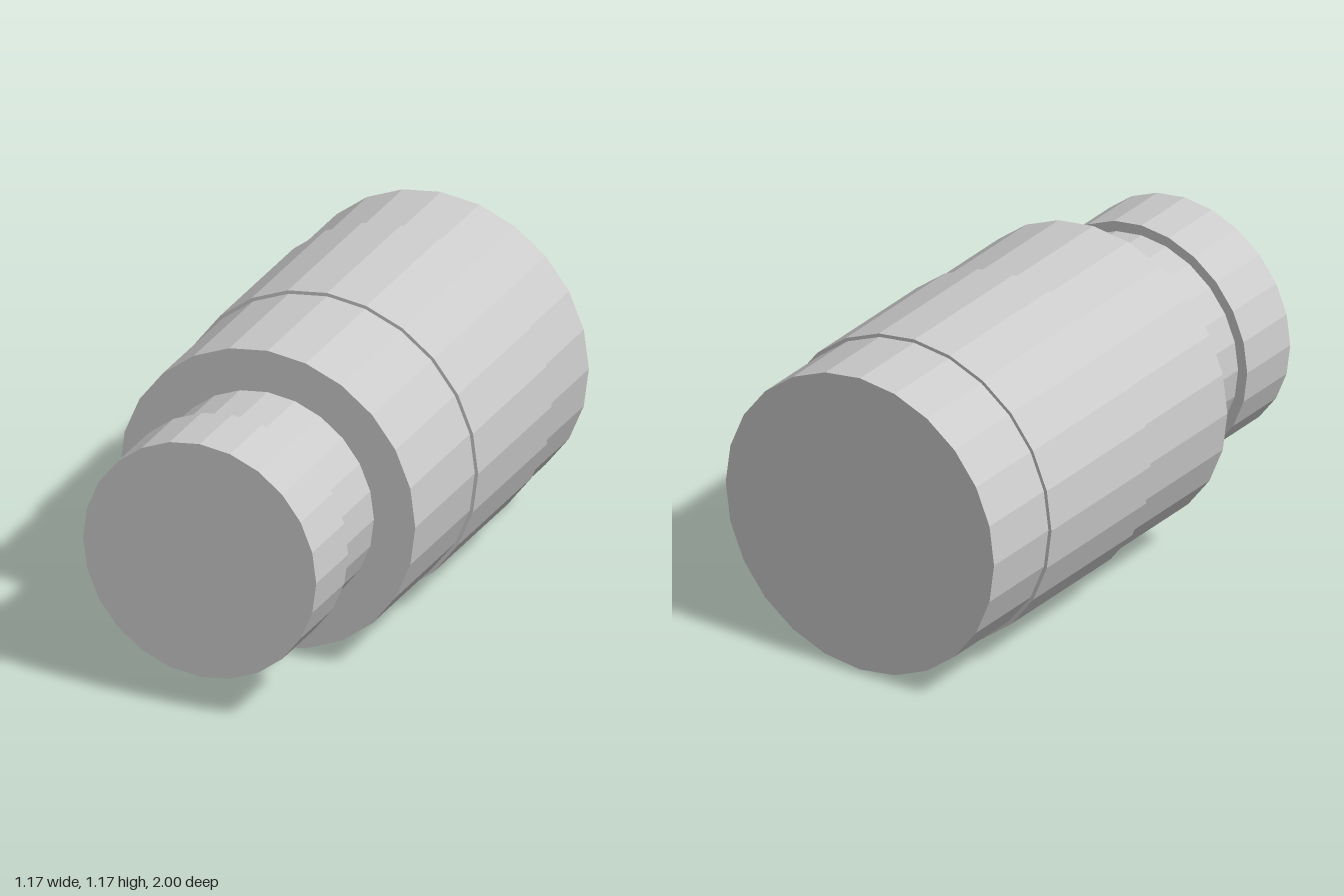
import * as THREE from 'three';

const AXIS_HEIGHT = 0.589;
const SIDES = 24;

export function createModel() {
  const group = new THREE.Group();
  const material = new THREE.MeshStandardMaterial({ color: 0xcccccc, flatShading: true });

  // A faceted drum lying along z between two stations
  function drum(name, radius, zBack, zFront) {
    const geometry = new THREE.CylinderGeometry(radius, radius, zFront - zBack, SIDES);
    geometry.rotateX(Math.PI / 2);
    const mesh = new THREE.Mesh(geometry, material);
    mesh.name = name;
    mesh.position.set(0, AXIS_HEIGHT, (zBack + zFront) / 2);
    group.add(mesh);
  }

  // Main barrel in two lengths, either side of the raised band
  drum('rearBarrel', 0.572, -1, -0.665);
  drum('raisedBand', 0.585, -0.665, -0.055);
  drum('frontBarrel', 0.572, -0.055, 0.438);

  // Narrow neck and the wider end cap
  drum('neck', 0.412, 0.438, 0.735);
  drum('endCap', 0.451, 0.735, 1);

  return group;
}
